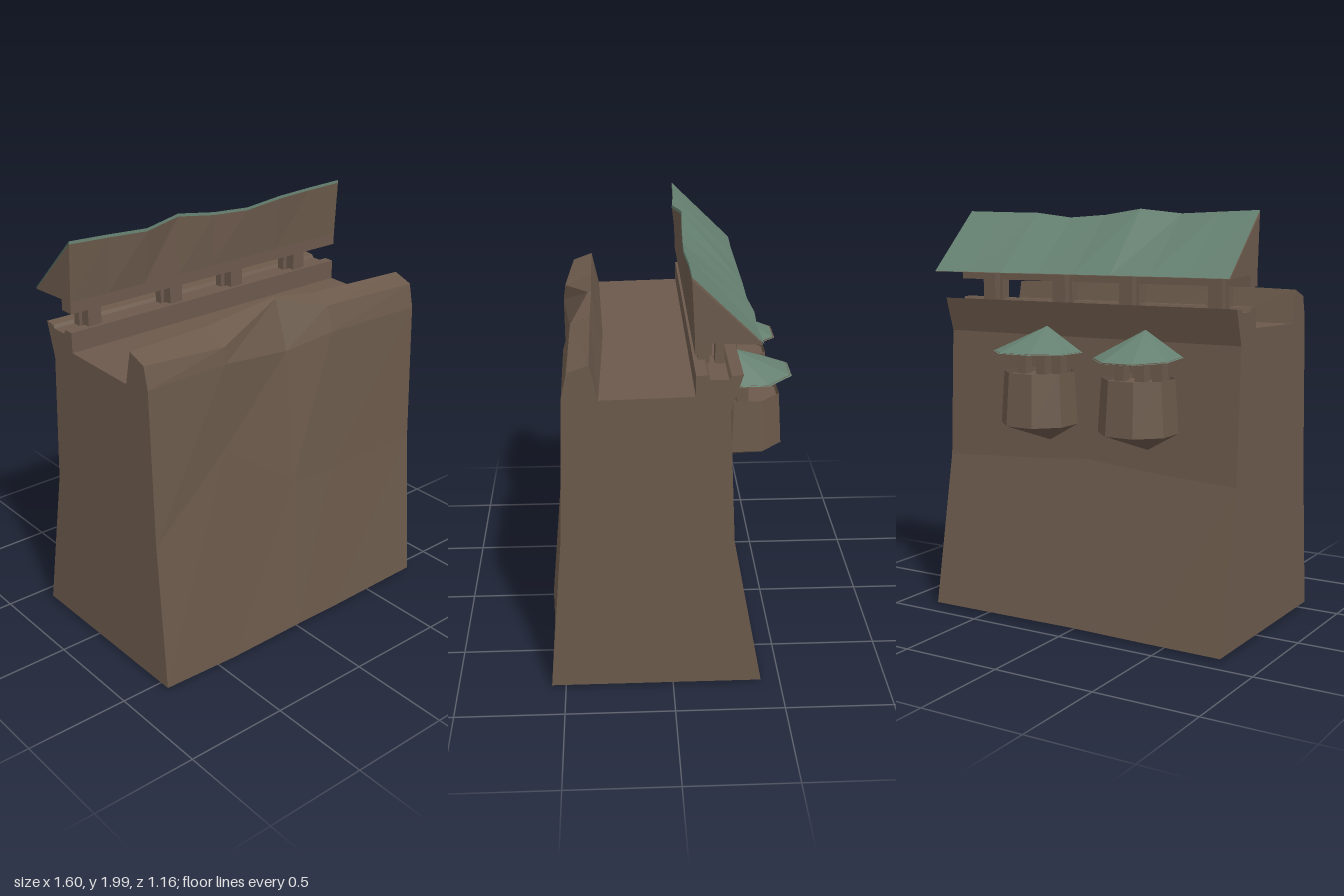
import * as THREE from 'three';

const mat = (name, color) => {
  const m = new THREE.MeshStandardMaterial({ color, flatShading: true, side: THREE.DoubleSide });
  m.name = name;
  return m;
};

// Skin a row of cross-sections, each { x, pts: [[z, y], ...] } running front to back over the top.
function loft(sections, { closed = false, caps = false } = {}) {
  const n = sections[0].pts.length, pos = [], index = [];
  sections.forEach(s => s.pts.forEach(([z, y]) => pos.push(s.x, y, z)));
  for (let i = 0; i < sections.length - 1; i++) {
    for (let j = 0; j < (closed ? n : n - 1); j++) {
      const a = i * n + j, d = i * n + (j + 1) % n;
      index.push(a, a + n, d + n, a, d + n, d);
    }
  }
  if (caps) {
    [[0, -1], [sections.length - 1, 1]].forEach(([i, side]) => {
      const p = sections[i].pts.map(([z, y]) => new THREE.Vector2(z, y));
      THREE.ShapeUtils.triangulateShape(p, []).forEach(([a, b, c]) => {
        const turn = (p[b].x - p[a].x) * (p[c].y - p[a].y) - (p[b].y - p[a].y) * (p[c].x - p[a].x);
        // seen from +x, the z axis runs to the left
        const t = turn * side < 0 ? [a, b, c] : [a, c, b];
        index.push(...t.map(k => i * n + k));
      });
    });
  }
  const g = new THREE.BufferGeometry();
  g.setAttribute('position', new THREE.Float32BufferAttribute(pos, 3));
  g.setIndex(index);
  const flat = g.toNonIndexed();
  flat.computeVertexNormals();
  return flat;
}

// Eight-sided ring solid whose pointed end is shifted in z
function octagon(rTop, rBottom, h, open, tipShift = 0) {
  const g = new THREE.CylinderGeometry(rTop, rBottom, h, 8, 1, open, Math.PI / 8);
  const p = g.attributes.position;
  const tipY = rTop === 0 ? h / 2 : -h / 2;
  for (let i = 0; i < p.count; i++) {
    if (tipShift && Math.abs(p.getY(i) - tipY) < 1e-6) p.setZ(i, p.getZ(i) + tipShift);
  }
  return g;
}

export function createModel() {
  const stone = mat('brown stone', 0x6b594b);
  const tile = mat('green roof', 0x658070);
  const model = new THREE.Group();
  const add = (parent, name, geo, material, x = 0, y = 0, z = 0) => {
    const m = new THREE.Mesh(geo, material);
    m.name = name;
    m.position.set(x, y, z);
    parent.add(m);
    return m;
  };
  const box = (parent, name, x, [y0, y1], [z0, z1], w) =>
    add(parent, name, new THREE.BoxGeometry(w, y1 - y0, z1 - z0), stone, x, (y0 + y1) / 2, (z0 + z1) / 2);

  // Wall: x, then front points [z, y] at foot, middle, shoulder, crest front, crest back,
  // then inner foot z, back foot z, back middle [z, y]
  const columns = [
    [-0.8, [[0.565, 0.02], [0.505, 0.74], [0.475, 1.48], [0.45, 1.585], [0.355, 1.62]], 0.32, -0.41, [-0.27, 0.77]],
    [-0.4, [[0.568, 0.008], [0.493, 1.09], [0.495, 1.5], [0.485, 1.575], [0.355, 1.63]], 0.31, -0.405, [-0.265, 0.79]],
    [0, [[0.585, 0.03], [0.515, 0.8], [0.445, 1.44], [0.365, 1.67], [0.35, 1.675]], 0.3, -0.395, [-0.255, 0.82]],
    [0.25, [[0.57, 0.015], [0.51, 0.78], [0.48, 1.48], [0.445, 1.6], [0.355, 1.64]], 0.305, -0.4, [-0.26, 0.8]],
    [0.8, [[0.565, 0.02], [0.5, 0.78], [0.475, 1.47], [0.45, 1.585], [0.355, 1.62]], 0.32, -0.41, [-0.27, 0.77]],
  ];
  const wall = columns.map(([x, front, inner, backFoot, backMid]) => ({
    x,
    pts: [
      ...front, [inner, 1.46], [-0.09, 1.47],
      [-0.09, 1.565], [-0.14, 1.565], [-0.15, 1.545], [-0.23, 1.545], [-0.24, 1.56], [-0.29, 1.565],
      [-0.24, 1.4], backMid, [backFoot, 0.02],
    ],
  }));
  add(model, 'wall', loft(wall, { caps: true }), stone);

  // Wavy lean-to roof: x, ridge z, ridge y, eave z
  const ridge = [
    [-0.8, -0.07, 1.992, -0.37], [-0.6, -0.065, 1.985, -0.365], [-0.4, -0.05, 1.978, -0.365],
    [-0.2, -0.085, 2, -0.365], [0, -0.075, 1.972, -0.365], [0.2, -0.068, 1.96, -0.362],
    [0.4, -0.06, 1.983, -0.375], [0.6, -0.07, 1.987, -0.365], [0.8, -0.07, 1.992, -0.372],
  ];
  const roof = new THREE.Group();
  roof.name = 'walkwayRoof';
  model.add(roof);
  add(roof, 'roofBody', loft(ridge.map(([x, z, y, e]) =>
    ({ x, pts: [[-0.085, 1.71], [z, y - 0.014], [e + 0.006, 1.698]] })), { closed: true, caps: true }), stone);
  add(roof, 'roofTiles', loft(ridge.map(([x, z, y, e]) =>
    ({ x, pts: [[z + 0.001, y - 0.014], [z, y], [e, 1.7]] }))), tile);
  box(roof, 'roofBeam', 0, [1.655, 1.715], [-0.155, -0.085], 1.6);
  for (const x of [-0.66, -0.2, 0.17, 0.58]) {
    box(roof, 'frontPost', x, [1.54, 1.67], [-0.16, -0.11], 0.07);
    box(roof, 'rearPost', x, [1.53, 1.71], [-0.225, -0.185], 0.07);
  }

  // Two hanging turrets on the back: x, roof radius, roof tilt
  for (const [x, r, tilt] of [[-0.35, 0.208, -0.06], [0.19, 0.215, 0.02]]) {
    const turret = new THREE.Group();
    turret.name = 'turret';
    turret.position.set(x, 0, -0.365);
    model.add(turret);
    add(turret, 'turretRoof', octagon(0, r, 0.118, true, 0.08), tile, 0, 1.394, -0.01).rotation.x = tilt;
    add(turret, 'turretCeiling', octagon(r - 0.006, r - 0.006, 0.006, false), stone, 0, 1.336, -0.01).rotation.x = tilt;
    add(turret, 'turretBody', octagon(0.168, 0.185, 0.25, true), stone, 0, 1.12, 0);
    add(turret, 'turretFloor', octagon(0.16, 0.16, 0.02, false), stone, 0, 1.215, 0);
    add(turret, 'turretBase', octagon(0.185, 0, 0.095, true, 0.09), stone, 0, 0.948, 0);
    for (const px of [-0.1, 0, 0.1]) {
      box(turret, 'turretPost', px, [1.22, 1.34], px ? [-0.005, 0.05] : [0.01, 0.065], 0.05);
    }
  }
  return model;
}
